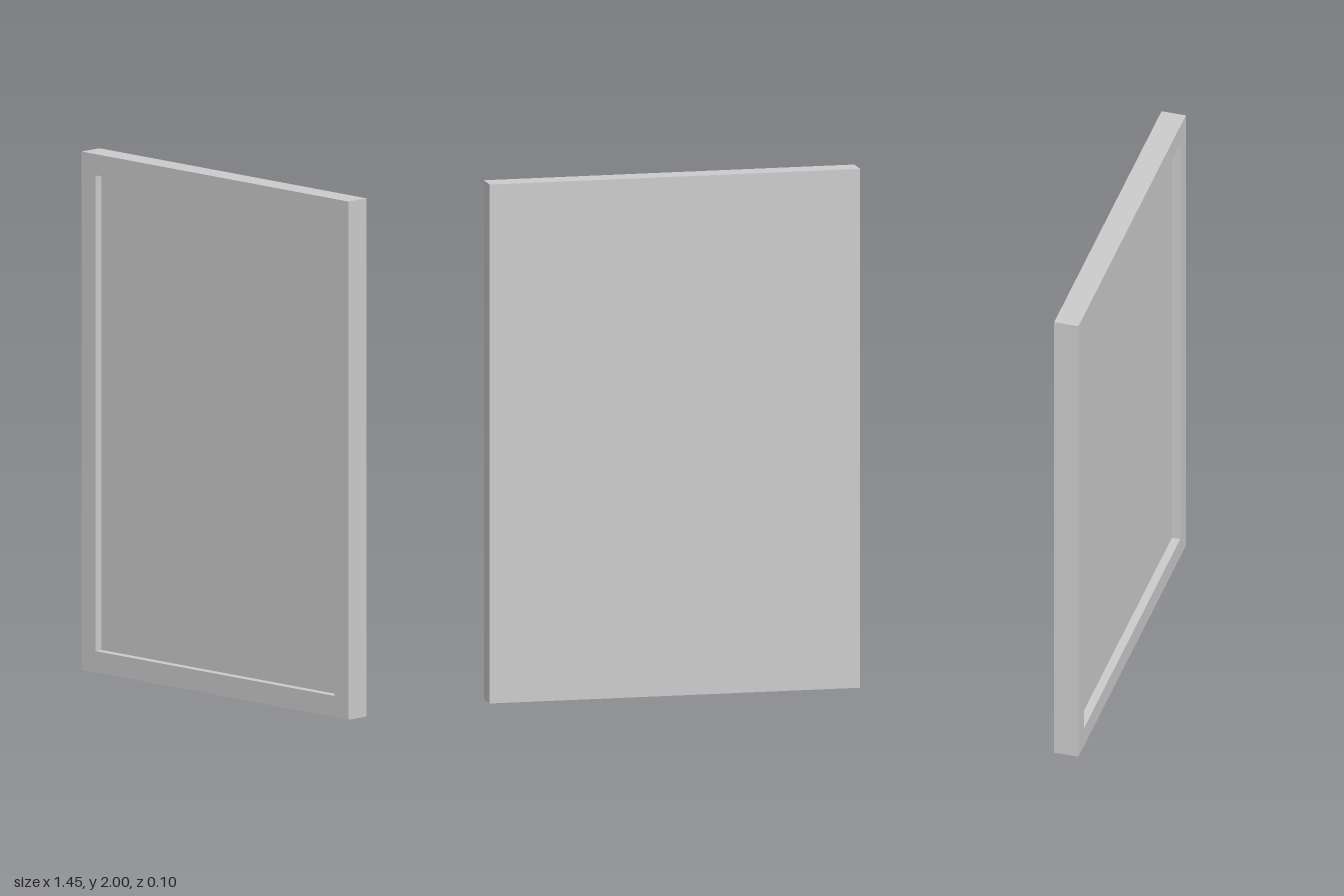
import * as THREE from 'three';

const WIDTH = 1.445, HEIGHT = 2, DEPTH = 0.096;
const BORDER_X = 0.075, BORDER_Y = 0.082, RECESS = 0.033;

// Rectangle centred on x, inset from the outer outline
function rectangle(PathType, insetX, insetY) {
  const x = WIDTH / 2 - insetX, y0 = insetY, y1 = HEIGHT - insetY;
  return new PathType([
    new THREE.Vector2(-x, y0), new THREE.Vector2(x, y0),
    new THREE.Vector2(x, y1), new THREE.Vector2(-x, y1),
  ]);
}

export function createModel() {
  const group = new THREE.Group();
  group.name = 'framedPanel';
  const material = new THREE.MeshStandardMaterial({ color: 0xcccccc });

  // Solid back panel, its front face is the floor of the recess
  const panelDepth = DEPTH - RECESS;
  const panel = new THREE.Mesh(new THREE.BoxGeometry(WIDTH, HEIGHT, panelDepth), material);
  panel.name = 'backPanel';
  panel.position.set(0, HEIGHT / 2, -DEPTH / 2 + panelDepth / 2);
  group.add(panel);

  // Raised border around the front
  const outline = rectangle(THREE.Shape, 0, 0);
  outline.holes.push(rectangle(THREE.Path, BORDER_X, BORDER_Y));
  const frame = new THREE.Mesh(
    new THREE.ExtrudeGeometry(outline, { depth: RECESS, bevelEnabled: false }), material);
  frame.name = 'frontFrame';
  frame.position.z = DEPTH / 2 - RECESS;
  group.add(frame);

  return group;
}
